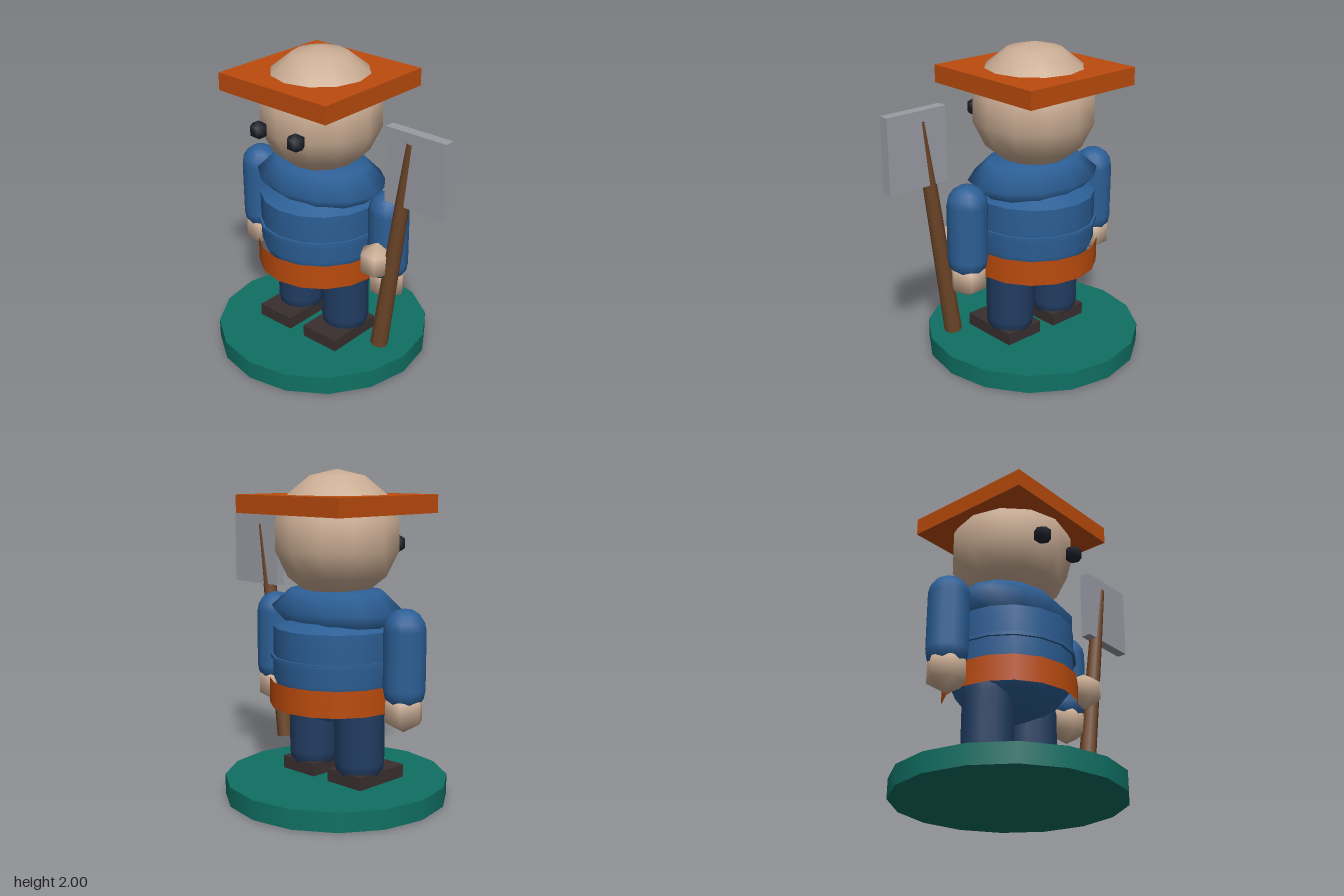
import * as THREE from 'three';

export function createModel() {
  const root = new THREE.Group();
  root.name = 'diggerFigure';
  const mat = (name, color) => {
    const m = new THREE.MeshStandardMaterial({ color });
    m.name = name;
    return m;
  };
  const skin = mat('skin', 0xcbad94);
  const orange = mat('orange', 0xbb4b0d);
  const teal = mat('teal', 0x107064);
  const blue = mat('blue', 0x2c5f96);
  const navy = mat('navy', 0x213c61);
  const wood = mat('wood', 0x6e4628);
  const leather = mat('leather', 0x3a2f2f);
  const steel = mat('steel', 0x9a9ca5);
  const dark = mat('dark', 0x1e1f2a);

  const cx = -0.175; // body axis
  const add = (name, geo, material, x, y, z) => {
    const mesh = new THREE.Mesh(geo, material);
    mesh.name = name;
    mesh.position.set(x, y, z);
    root.add(mesh);
    return mesh;
  };
  const box = (w, h, d) => new THREE.BoxGeometry(w, h, d);

  add('base', new THREE.CylinderGeometry(0.69, 0.69, 0.12, 16), teal, cx, 0.06, 0);

  // Torso: round belly, straight sides, sloping shoulders
  const profile = [[0, 0.467], [0.105, 0.482], [0.2, 0.521], [0.29, 0.592], [0.35, 0.67],
    [0.384, 0.75], [0.384, 1.062], [0.384, 1.062], [0, 1.267]].map(p => new THREE.Vector2(...p));
  add('torso', new THREE.LatheGeometry(profile, 16), blue, cx, 0, 0);
  add('waistSeam', new THREE.CylinderGeometry(0.4, 0.4, 0.022, 16), blue, cx, 0.877, 0);
  add('belt', new THREE.CylinderGeometry(0.407, 0.407, 0.16, 16, 1, true), orange, cx, 0.66, 0);
  add('shoulders', new THREE.SphereGeometry(1, 12, 4), blue, cx, 1.167, 0).scale.set(0.45, 0.16, 0.35);

  // Head and hat
  add('head', new THREE.SphereGeometry(0.39, 12, 7), skin, cx, 1.61, 0);
  add('hatBrim', box(0.85, 0.11, 0.855), orange, cx, 1.795, 0);

  // Mirrored parts
  for (const [side, s] of [['left', 1], ['right', -1]]) {
    add(side + 'Eye', new THREE.SphereGeometry(0.06, 6, 3), dark, cx + s * 0.15, 1.545, 0.38);
    add(side + 'Arm', new THREE.CapsuleGeometry(0.125, 0.345, 4, 12), blue, cx + s * 0.54, 0.923, 0);
    add(side + 'Hand', new THREE.SphereGeometry(0.13, 6, 3), skin, cx + s * 0.54, 0.625, 0);
    add(side + 'Leg', new THREE.CapsuleGeometry(0.155, 0.32, 4, 12), navy, cx + s * 0.195, 0.41, 0);
    add(side + 'Shoe', box(0.27, 0.08, 0.39), leather, cx + s * 0.195, 0.16, 0.058);
  }

  // Shovel and the fist that grips it
  add('grippingFist', new THREE.SphereGeometry(0.12, 6, 3), skin, 0.385, 0.82, 0.13);
  add('shovelHandle', new THREE.CylinderGeometry(0.038, 0.056, 1.42, 8), wood, 0.506, 0.936, 0.115).rotation.z = -0.146;
  add('shovelBlade', box(0.41, 0.46, 0.065), steel, 0.65, 1.475, 0.113);

  return root;
}
